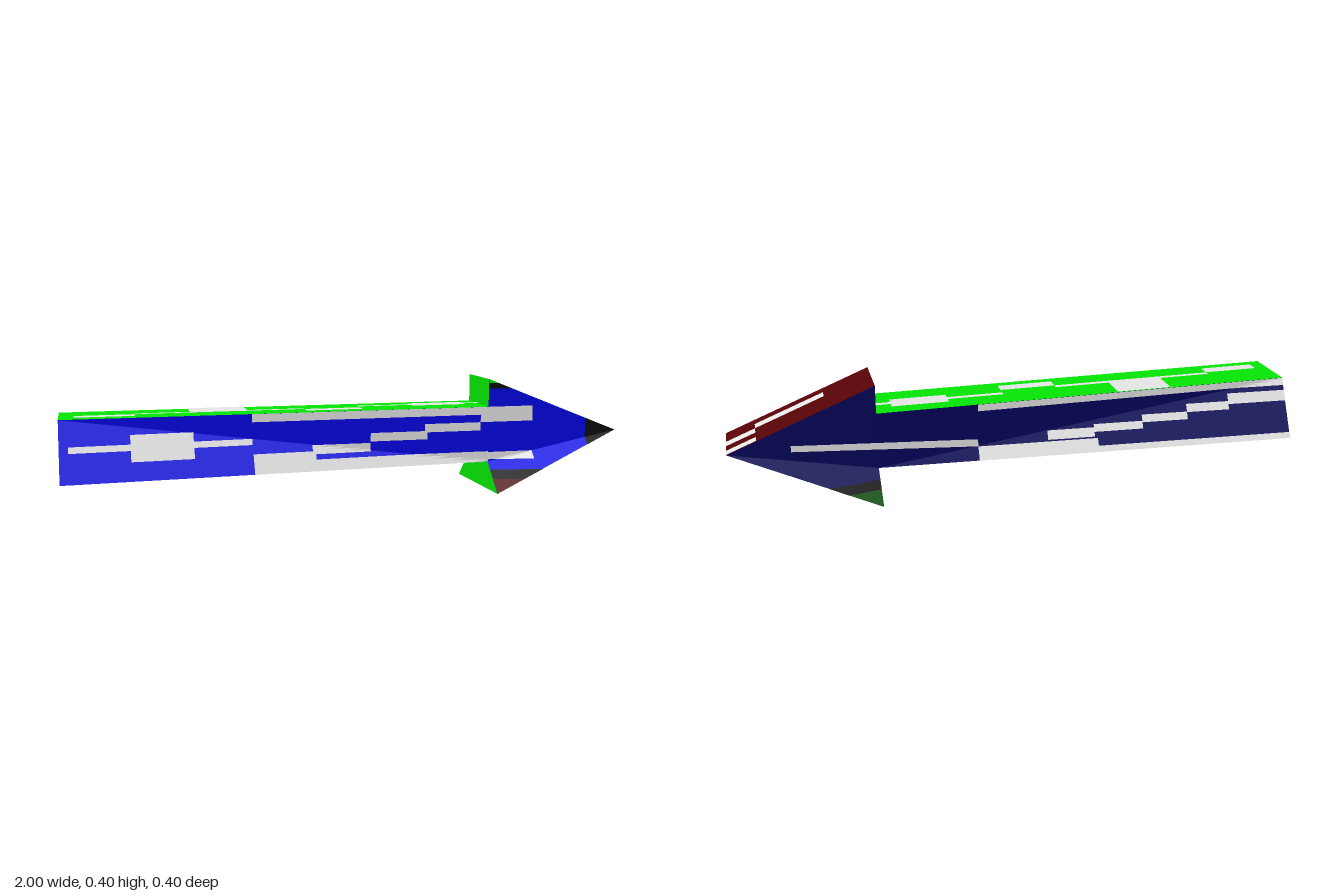
import * as THREE from 'three';

const colors = {
  blue: 0x0404ee, navy: 0x04045c, green: 0x04f004, darkGreen: 0x045404,
  red: 0xd80404, darkRed: 0x560406, black: 0x0c0c0c, paleGrey: 0xe8e8e8,
};

export function createModel() {
  const group = new THREE.Group();
  const mats = {};
  for (const [name, color] of Object.entries(colors)) {
    mats[name] = new THREE.MeshStandardMaterial({ color });
    mats[name].name = name;
  }

  // Flat-faced mesh from triangles, each turned towards the outward direction
  function addMesh(name, mat, tris, out) {
    const o = new THREE.Vector3(...out), pos = [];
    for (const t of tris) {
      const [a, b, c] = t.map((p) => new THREE.Vector3(...p));
      const n = b.clone().sub(a).cross(c.clone().sub(a));
      if (n.length() < 1e-9) continue;
      const order = n.dot(o) > 0 ? [a, b, c] : [a, c, b];
      order.forEach((v) => pos.push(v.x, v.y, v.z));
    }
    const geo = new THREE.BufferGeometry();
    geo.setAttribute('position', new THREE.Float32BufferAttribute(pos, 3));
    geo.computeVertexNormals();
    const mesh = new THREE.Mesh(geo, mats[mat]);
    mesh.name = name;
    group.add(mesh);
  }

  // Arrow outline: x, y and half depth at each corner
  const outline = [
    [-1, 0.1, 0.2], [0.5, 0.1, 0.1], [0.5, 0, 0.2], [1, 0.2, 0.1],
    [0.5, 0.4, 0.1], [0.5, 0.3, 0.1], [-1, 0.3, 0.1],
  ];
  const at = (i, s) => [outline[i][0], outline[i][1], outline[i][2] * s];

  // Rim faces joining the two sides
  const rim = [
    ['shaftBottom', 'darkGreen', [0, -1, 0]], ['lowerBarb', 'green', [-1, 0, 0]],
    ['headBottom', 'darkRed', [1, -2, 0]], ['headTop', 'darkRed', [1, 2, 0]],
    ['upperBarb', 'green', [-1, 0, 0]], ['shaftTop', 'green', [0, 1, 0]],
    ['tailEnd', 'red', [-1, 0, 0]],
  ];
  rim.forEach(([name, mat, out], i) => {
    const j = (i + 1) % 7;
    addMesh(name, mat, [
      [at(i, 1), at(j, 1), at(j, -1)], [at(i, 1), at(j, -1), at(i, -1)],
    ], out);
  });

  // Two sides
  const sideTris = [[0, 1, 6], [1, 5, 6], [1, 2, 3], [1, 3, 4], [1, 4, 5]];
  for (const s of [1, -1]) {
    addMesh(s > 0 ? 'frontSide' : 'backSide', s > 0 ? 'blue' : 'navy',
      sideTris.map((t) => t.map((i) => at(i, s))), [0, 0, s]);
  }

  // Thin paint: quads in (u, v) laid on a surface by a mapping function
  function paint(name, mat, quads, map, out) {
    const tris = [];
    for (const q of quads) {
      const n = Math.max(2, Math.ceil(Math.abs(q[1][0] - q[0][0]) / 0.03)), m = 4;
      const P = (i, j) => {
        const a = i / n, b = j / m;
        const mix = (k) => (q[0][k] * (1 - a) + q[1][k] * a) * (1 - b)
          + (q[3][k] * (1 - a) + q[2][k] * a) * b;
        return map(mix(0), mix(1));
      };
      for (let i = 0; i < n; i++) for (let j = 0; j < m; j++) {
        tris.push([P(i, j), P(i + 1, j), P(i + 1, j + 1)],
          [P(i, j), P(i + 1, j + 1), P(i, j + 1)]);
      }
    }
    addMesh(name, mat, tris, out);
  }
  const rects = (list) => list.map(([a, b, c, d]) => [[a, c], [b, c], [b, d], [a, d]]);

  // Depth of the folded side surface
  const sideMap = (s) => (x, y) => {
    const fold = x < 0.5
      ? 0.1 * (1 - (x + 1) / 1.5 - (y - 0.1) / 0.2)
      : 0.1 + 0.2 * (x - 0.5) - y;
    return [x, y, s * (0.102 + Math.max(0, fold))];
  };
  const front = sideMap(1), back = sideMap(-1);

  // Grey streaks on the sides
  paint('frontStreaks', 'paleGrey', rects([
    [-0.97, -0.77, 0.195, 0.215], [-0.77, -0.56, 0.16, 0.245],
    [-0.56, -0.36, 0.195, 0.215], [-0.36, 0.47, 0.272, 0.3],
    [-0.36, -0.14, 0.1, 0.165], [-0.14, 0.5, 0.1, 0.138],
    [-0.15, 0.06, 0.155, 0.185], [0.06, 0.27, 0.19, 0.22],
    [0.26, 0.47, 0.215, 0.245], [0.47, 0.67, 0.245, 0.3],
    [0.5, 0.67, 0.108, 0.135],
  ]), front, [0, 0, 1]);
  paint('backStreaks', 'paleGrey', [
    ...rects([
      [-1, 0.15, 0.276, 0.3], [-0.28, 0.15, 0.1, 0.145], [-1, -0.28, 0.1, 0.12],
      [-0.27, -0.1, 0.15, 0.18], [-0.45, -0.27, 0.165, 0.19],
      [-0.62, -0.45, 0.185, 0.21], [-0.78, -0.62, 0.208, 0.235],
      [-1, -0.78, 0.225, 0.26],
    ]),
    [[0.15, 0.145], [0.79, 0.19], [0.79, 0.212], [0.15, 0.172]],
  ], back, [0, 0, -1]);

  // Coloured corners of the arrowhead
  const lowerQuad = (a, b) => [[0.5, a], [0.5 + a / 0.4, a], [0.5 + b / 0.4, b], [0.5, b]];
  const upperQuad = (a, b) => lowerQuad(0.4 - b, 0.4 - a).map(([x, y]) => [x, 0.4 - y]);
  paint('headPoint', 'black', [[[0.88, 0.152], [1, 0.2], [1, 0.2], [0.88, 0.248]]], front, [0, 0, 1]);
  paint('frontCornerBands', 'black', [lowerQuad(0.045, 0.075), upperQuad(0.365, 0.385)], front, [0, 0, 1]);
  paint('frontLowerCorner', 'darkRed', [lowerQuad(0, 0.045)], front, [0, 0, 1]);
  paint('frontUpperCorner', 'green', [upperQuad(0.385, 0.4)], front, [0, 0, 1]);
  paint('backCornerBand', 'black', [lowerQuad(0.045, 0.07)], back, [0, 0, -1]);
  paint('backLowerCorner', 'darkGreen', [lowerQuad(0, 0.045)], back, [0, 0, -1]);

  // Grey patches on the shaft, in x and z
  paint('shaftTopPatches', 'paleGrey', rects([
    [-0.95, -0.75, 0.02, 0.065], [-0.75, -0.56, 0.002, 0.02],
    [-0.56, -0.36, -0.1, 0.02], [-0.36, -0.16, 0, 0.02],
    [-0.16, 0.04, 0.02, 0.065], [0.04, 0.24, -0.025, -0.005],
    [0.24, 0.44, -0.05, 0.02], [0.44, 0.5, -0.025, -0.005],
  ]), (x, z) => [x, 0.302, z], [0, 1, 0]);
  paint('shaftBottomPatches', 'paleGrey', rects([
    [-0.93, -0.72, -0.125, -0.055], [-0.7, -0.5, -0.03, 0.012],
    [-0.5, -0.29, 0.01, 0.14], [-0.3, -0.08, -0.09, -0.015],
    [-0.08, 0.16, -0.1, -0.04], [0.16, 0.36, -0.035, 0.012],
  ]), (x, z) => [x, 0.098, z], [0, -1, 0]);

  // Grey patches on the arrowhead slopes, in z and y
  paint('headTopPatches', 'paleGrey', rects([
    [0.015, 0.055, 0.24, 0.335], [-0.025, 0.015, 0.2, 0.24], [-0.1, -0.065, 0.2, 0.24],
  ]), (z, y) => [0.5 + (0.4 - y) / 0.4, y + 0.002, z], [1, 2, 0]);
  paint('headBottomPatches', 'paleGrey', rects([
    [0.055, 0.1, 0.15, 0.2], [-0.065, -0.025, 0.15, 0.2],
    [-0.025, 0.015, 0.1, 0.15], [-0.105, -0.065, 0.1, 0.15],
    [0.015, 0.055, 0.01, 0.1], [-0.147, -0.107, 0.01, 0.1],
  ]), (z, y) => [0.5 + y / 0.4, y - 0.002, z], [1, -2, 0]);

  // Grey patches on the tail end, in z and y
  paint('tailPatches', 'paleGrey', rects([
    [-0.14, -0.1, 0.12, 0.2], [-0.1, -0.06, 0.19, 0.24], [-0.04, 0.02, 0.2, 0.26],
    [0, 0.05, 0.15, 0.2], [0.05, 0.12, 0.13, 0.17],
  ]), (z, y) => [-1.002, y, z], [-1, 0, 0]);

  return group;
}
